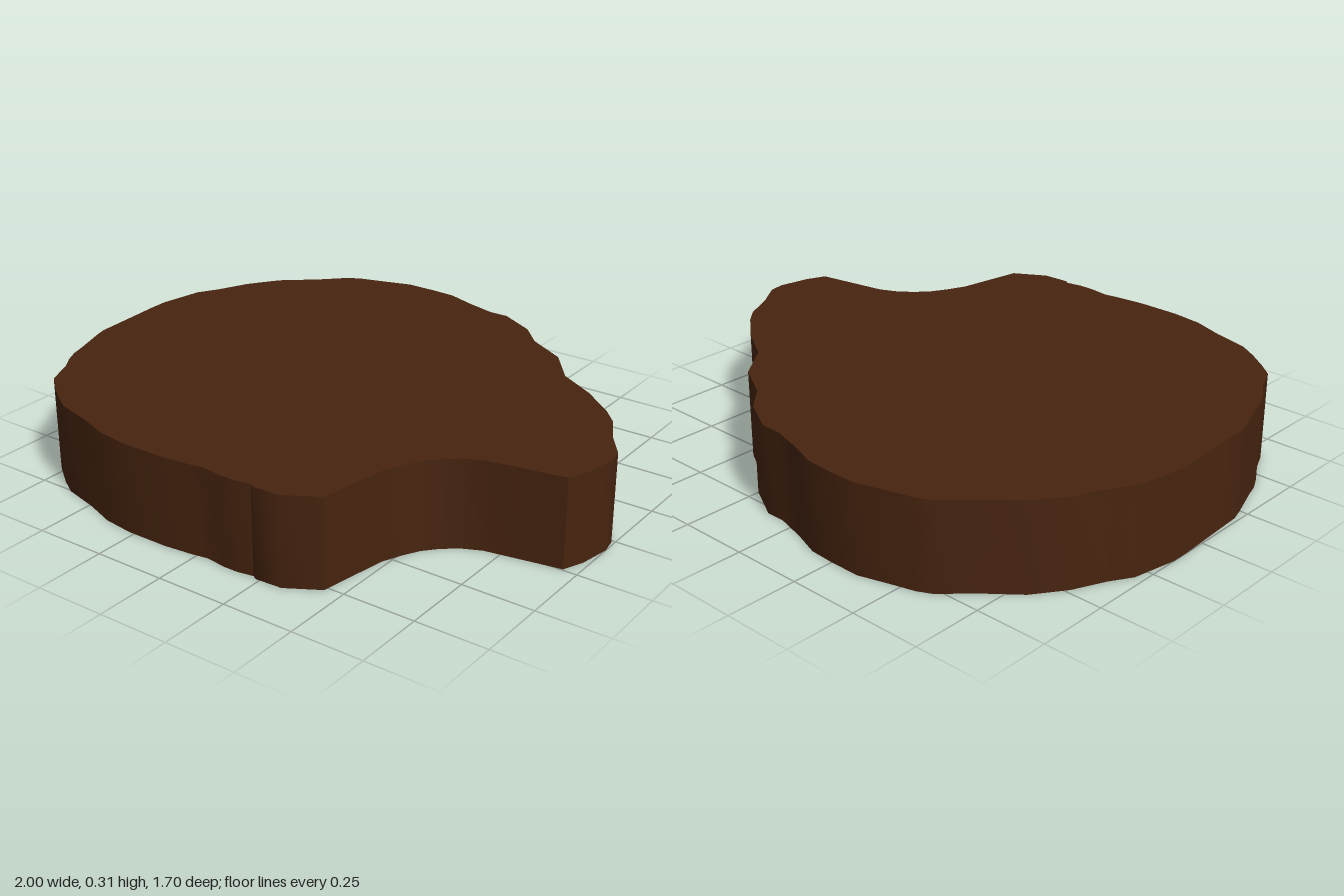
import * as THREE from 'three';
import { toCreasedNormals } from 'three/addons/utils/BufferGeometryUtils.js';

const HEIGHT = 0.31;

// Outline seen from above as [x, z]
const backEdge = [
  [-0.46, -0.82], [-0.36, -0.85], [-0.25, -0.85], [-0.16, -0.845], [-0.06, -0.81],
  [0.05, -0.78], [0.12, -0.78], [0.25, -0.71], [0.33, -0.625], [0.47, -0.545],
  [0.57, -0.415], [0.705, -0.335], [0.82, -0.24], [0.87, -0.185], [0.925, -0.08],
];
const tip = [[0.99, 0.01], [1, 0.065], [0.98, 0.175], [0.95, 0.245]];
const bite = [
  [0.695, 0.29], [0.63, 0.32], [0.58, 0.36], [0.54, 0.405], [0.51, 0.46],
  [0.48, 0.53], [0.44, 0.765],
];
const frontEdge = [
  [0.33, 0.83], [0.235, 0.835], [0.22, 0.825], [0.165, 0.835], [0.11, 0.835],
  [0.04, 0.825], [-0.02, 0.835], [-0.12, 0.845], [-0.27, 0.845], [-0.38, 0.83],
  [-0.49, 0.79], [-0.62, 0.755], [-0.685, 0.715], [-0.765, 0.655],
];
const rightEdge = [
  [-0.81, 0.615], [-0.855, 0.515], [-0.89, 0.465], [-0.915, 0.415], [-0.93, 0.365],
  [-0.97, 0.25], [-0.985, 0.2], [-0.99, 0.1], [-1, -0.085], [-1, -0.145],
  [-0.97, -0.3], [-0.925, -0.375], [-0.875, -0.485], [-0.8, -0.59], [-0.68, -0.69],
  [-0.6, -0.77], [-0.55, -0.795],
];

export function createModel() {
  const group = new THREE.Group();
  group.name = 'slab';
  const darkBrown = new THREE.MeshStandardMaterial({ color: 0x47240f });
  darkBrown.name = 'darkBrown';

  // Flat slab: outline extruded upwards, with smooth walls and sharp corners
  const outline = [...backEdge, ...tip, ...bite, ...frontEdge, ...rightEdge];
  const shape = new THREE.Shape(outline.map(([x, z]) => new THREE.Vector2(x, -z)));
  const geometry = new THREE.ExtrudeGeometry(shape, { depth: HEIGHT, bevelEnabled: false });
  geometry.rotateX(-Math.PI / 2);

  const slab = new THREE.Mesh(toCreasedNormals(geometry, 0.65), darkBrown);
  slab.name = 'bittenSlab';
  group.add(slab);
  return group;
}
